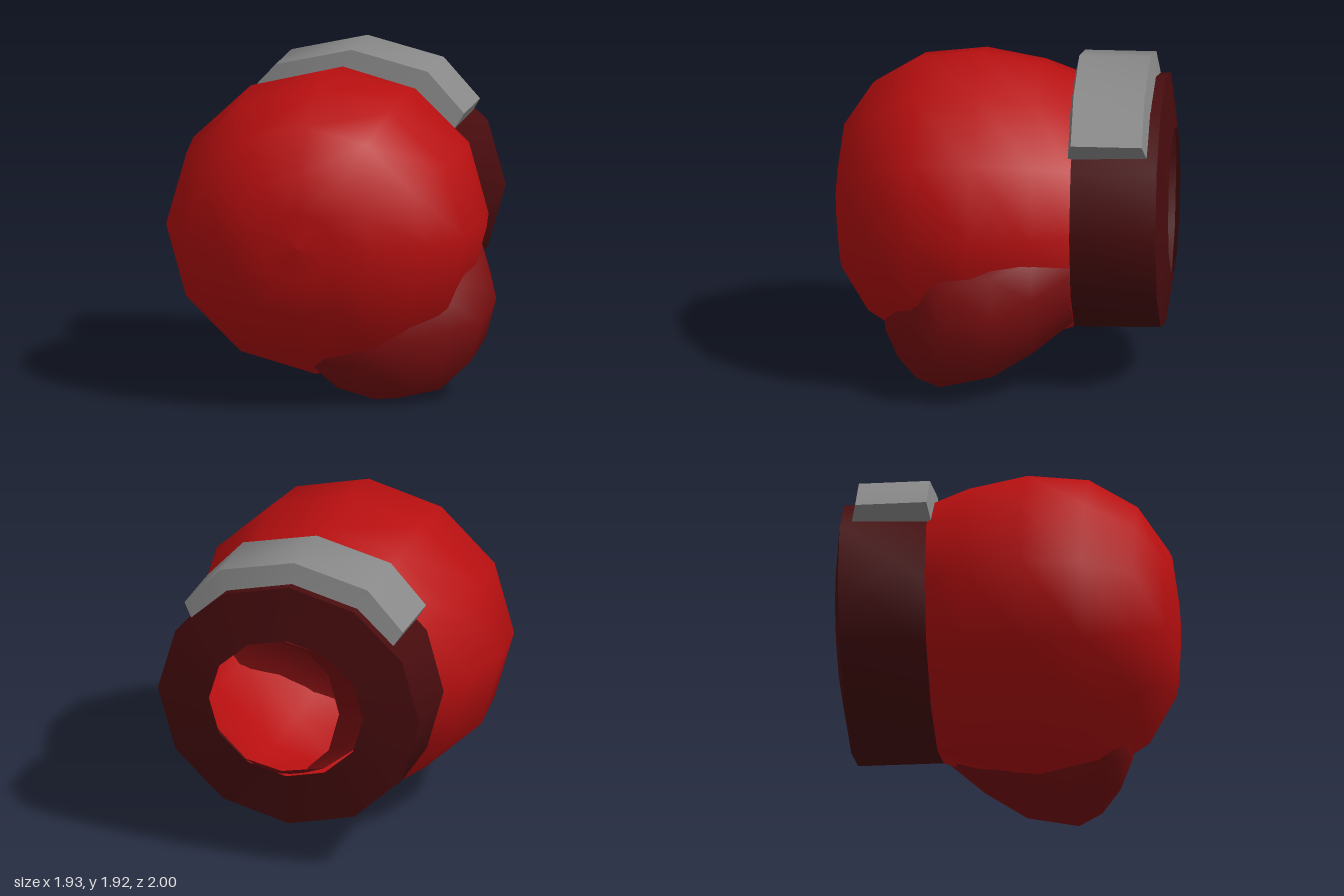
import * as THREE from 'three';
import { toCreasedNormals } from 'three/addons/utils/BufferGeometryUtils.js';

const SIDES = 12;

const mat = (name, color) => {
  const m = new THREE.MeshStandardMaterial({ color, side: THREE.DoubleSide });
  m.name = name;
  return m;
};

// Skin rows of points into a surface; each row runs counter-clockwise seen from +z
function skin(rows, closed) {
  const n = rows[0].length;
  const index = [];
  for (let i = 0; i < rows.length - 1; i++) {
    for (let j = 0; j < (closed ? n : n - 1); j++) {
      const k = (j + 1) % n;
      const a = i * n + j, b = i * n + k, c = (i + 1) * n + k, d = (i + 1) * n + j;
      index.push(a, b, c, a, c, d);
    }
  }
  const geo = new THREE.BufferGeometry();
  geo.setAttribute('position', new THREE.Float32BufferAttribute(rows.flat(2), 3));
  geo.setIndex(index);
  geo.computeVertexNormals();
  return geo;
}

// Elliptical ring in the xy plane
function ring([z, rx, ry, cx = -0.02, cy = 1.02]) {
  return Array.from({ length: SIDES }, (_, j) => {
    const t = (j / SIDES) * Math.PI * 2;
    return [cx + rx * Math.cos(t), cy + ry * Math.sin(t), z];
  });
}

export function createModel() {
  const group = new THREE.Group();
  const red = mat('red leather', 0xb80f10);
  const darkRed = mat('dark red leather', 0x7c0e10);
  const maroon = mat('maroon cuff', 0x480c0e);
  const grey = mat('grey strap', 0x888888);

  const add = (name, geo, material) => {
    const mesh = new THREE.Mesh(geo, material);
    mesh.name = name;
    group.add(mesh);
  };

  // Rounded fist, open towards the cuff: z, rx, ry
  add('fist', skin([
    [-0.44, 0.79, 0.76], [-0.21, 0.88, 0.84], [0.14, 0.95, 0.9], [0.5, 0.905, 0.86],
    [0.78, 0.73, 0.69], [0.95, 0.45, 0.43], [0.98, 0.22, 0.21], [1.0, 0.001, 0.001],
  ].map(ring), true), red);

  // Thumb lying along the lower side: z, rx, ry, cx, cy
  add('thumb', skin([
    [-0.44, 0.53, 0.42, 0.2, 0.78], [-0.22, 0.5, 0.45, 0.37, 0.66], [0.02, 0.48, 0.48, 0.48, 0.56],
    [0.33, 0.5, 0.48, 0.44, 0.48], [0.48, 0.45, 0.43, 0.33, 0.45], [0.6, 0.35, 0.3, 0.24, 0.42],
    [0.68, 0.2, 0.14, 0.18, 0.4], [0.69, 0.001, 0.001, 0.18, 0.4],
  ].map(ring), true), darkRed);

  // Hollow cuff with a sloping rim around the wrist opening
  add('cuff', toCreasedNormals(skin([
    [-1.0, 0.48, 0.435, -0.02, 1.03], [-0.95, 0.815, 0.76, -0.02, 1.03], [-0.44, 0.79, 0.76],
  ].map(ring), true), 0.9), maroon);

  // Bevelled strap arching over the top of the cuff
  const mirrored = (half) => [...half, [0, half.top], ...half.map(([x, y]) => [-x, y]).reverse()];
  const arc = (half, top) => mirrored(Object.assign(half, { top }));
  const end = [0.6, 1.43];
  const base = arc([end, end, [0.37, 1.66]], 1.76);
  const outer = arc([end, [0.68, 1.56], [0.46, 1.8]], 1.91);
  const row = (line, z) => line.map(([x, y]) => [x - 0.02, y, z]);
  add('strap', toCreasedNormals(skin([
    row(base, -0.9), row(outer, -0.86), row(outer, -0.44), row(base, -0.41),
  ], false), 0.7), grey);

  return group;
}
